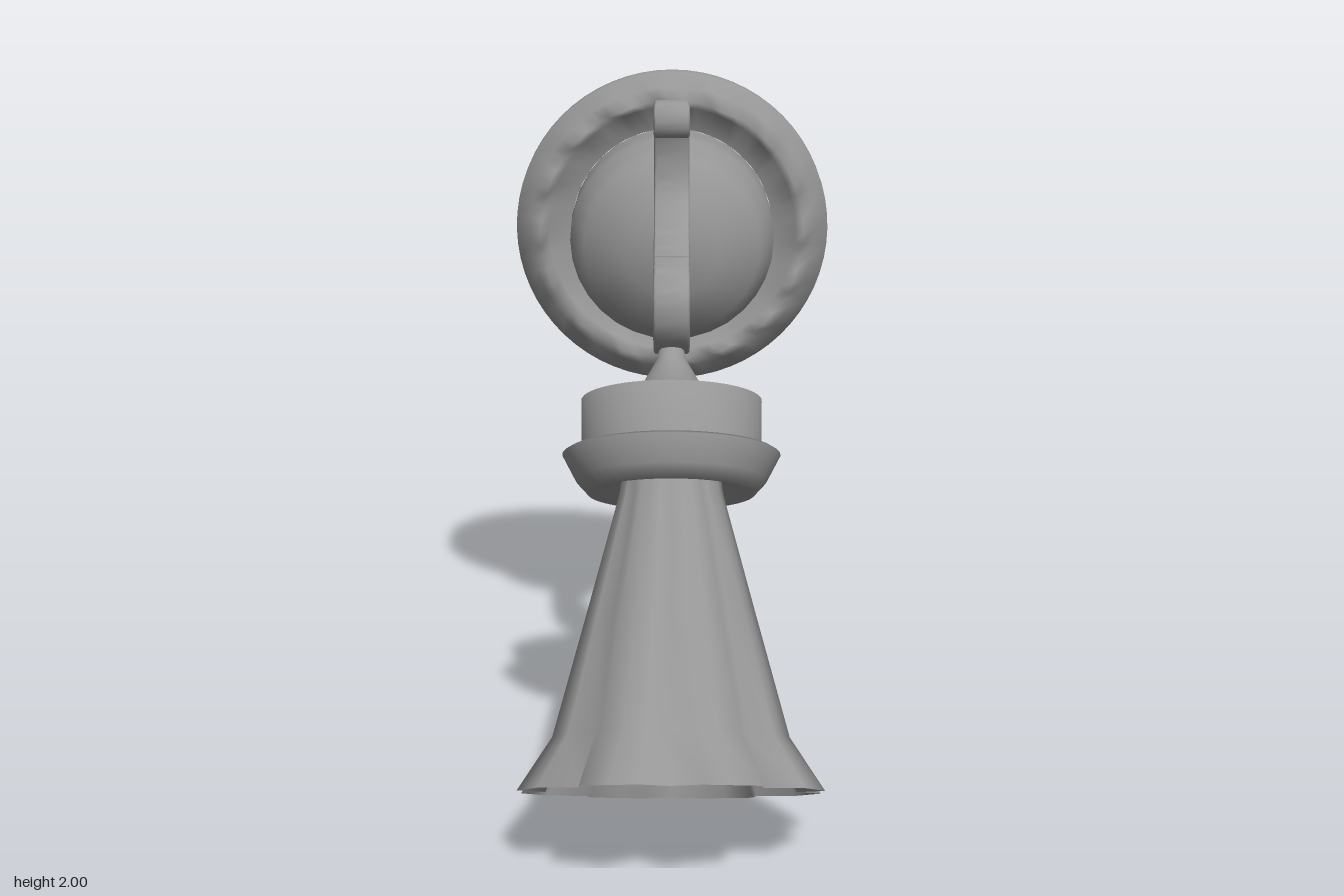
import * as THREE from 'three';
import { mergeVertices, toCreasedNormals } from 'three/addons/utils/BufferGeometryUtils.js';

const material = new THREE.MeshStandardMaterial({ color: 0x969696, side: THREE.DoubleSide });

function addMesh(parent, name, geometry) {
  const mesh = new THREE.Mesh(geometry, material);
  mesh.name = name;
  parent.add(mesh);
}

// Smoothly revolve [radius, height] pairs; rule(segment, row) may return { scale, lift } per vertex
function revolve(profile, segments, rule = () => ({})) {
  const lathe = new THREE.LatheGeometry(profile.map(([r, h]) => new THREE.Vector2(r, h)), segments);
  lathe.deleteAttribute('uv');
  lathe.deleteAttribute('normal');
  const pos = lathe.attributes.position;
  for (let i = 0; i < pos.count; i++) {
    const segment = Math.floor(i / profile.length) % segments;
    const { scale = 1, lift = 0 } = rule(segment, i % profile.length);
    pos.setXYZ(i, pos.getX(i) * scale, pos.getY(i) + lift, pos.getZ(i) * scale);
  }
  const merged = mergeVertices(lathe, 1e-4);
  merged.computeVertexNormals();
  return merged;
}

// Flat iron strip following [z, y] points, with softly rounded edges
function strip(points, samples) {
  const width = 0.104, core = 0.007, bevel = 0.01;
  const curve = new THREE.SplineCurve(points.map(([z, y]) => new THREE.Vector2(z, y)));
  const left = [], right = [];
  for (let i = 0; i <= samples; i++) {
    const p = curve.getPointAt(i / samples);
    const t = curve.getTangentAt(i / samples);
    const n = new THREE.Vector2(-t.y, t.x).multiplyScalar(core);
    left.push(p.clone().add(n));
    right.unshift(p.clone().sub(n));
  }
  const geometry = new THREE.ExtrudeGeometry(new THREE.Shape([...left, ...right]), {
    depth: width - 2 * bevel, bevelEnabled: true, bevelSize: bevel, bevelThickness: bevel, bevelSegments: 3,
  });
  geometry.translate(0, 0, -(width / 2 - bevel));
  geometry.rotateY(-Math.PI / 2);
  return toCreasedNormals(geometry, 0.9);
}

export function createModel() {
  const model = new THREE.Group();
  model.name = 'wallLamp';

  // Wall mount: scalloped ring and dome, turned to face +z
  const mount = new THREE.Group();
  mount.name = 'wallMount';
  mount.position.y = 1.52;
  mount.rotation.x = Math.PI / 2;
  model.add(mount);

  const ringProfile = [[0.482, -0.82], [0.482, -0.77], [0.438, -0.745], [0.402, -0.7], [0.38, -0.742], [0.31, -0.77]];
  const waves = 16, perWave = 4;
  addMesh(mount, 'scallopedRing', revolve(ringProfile, waves * perWave, (segment, row) => {
    const wave = Math.cos((segment / perWave) * Math.PI * 2);
    return row === 3 ? { lift: 0.02 * wave } : {};
  }));
  addMesh(mount, 'dome', revolve(
    [[0.31, -0.77], [0.311, -0.68], [0.308, -0.595], [0.265, -0.515], [0.14, -0.447], [0, -0.44]], 32));

  // Scroll bracket
  const bracket = new THREE.Group();
  bracket.name = 'scrollBracket';
  model.add(bracket);
  addMesh(bracket, 'mainScroll', strip([
    [-0.39, 1.882], [-0.364, 1.888], [-0.357, 1.923], [-0.38, 1.95], [-0.413, 1.95], [-0.45, 1.903],
    [-0.473, 1.83], [-0.474, 1.75], [-0.45, 1.68], [-0.39, 1.62], [-0.31, 1.568], [-0.235, 1.535],
    [-0.16, 1.51], [-0.111, 1.46], [-0.106, 1.39], [-0.142, 1.33], [-0.2, 1.29], [-0.258, 1.295],
    [-0.288, 1.335], [-0.28, 1.375], [-0.252, 1.39], [-0.235, 1.375],
  ], 90));
  addMesh(bracket, 'smallScroll', strip([
    [-0.235, 1.535], [-0.285, 1.527], [-0.318, 1.5], [-0.327, 1.45], [-0.35, 1.418], [-0.383, 1.416],
    [-0.411, 1.45], [-0.427, 1.51], [-0.428, 1.59],
  ], 40));

  // Tilted lamp head, its origin at the centre of the shade mouth
  const head = new THREE.Group();
  head.name = 'lampHead';
  head.position.set(0, 0.21, 0.46);
  head.rotation.x = -Math.PI / 6;
  model.add(head);

  addMesh(head, 'capAndStem', revolve(
    [[0.255, 0.925], [0.257, 1.1], [0.11, 1.1], [0.042, 1.222], [0.036, 1.25], [0, 1.262]], 40));
  addMesh(head, 'flange', revolve(
    [[0.13, 0.87], [0.2, 0.845], [0.235, 0.83], [0.27, 0.868], [0.309, 0.942], [0.296, 0.95], [0.25, 0.928]], 40));

  // Fluted shade: eight petals with a notch between each pair
  const shadeProfile = [[0.425, 0], [0.33, 0.145], [0.24, 0.48], [0.15, 0.82], [0.14, 0.88]];
  const depth = [0.19, 0.14, 0.1, 0.05, 0.03];
  addMesh(head, 'shade', revolve(shadeProfile, 32, (segment, row) => {
    const step = segment % 4;
    if (step === 0) return { scale: 1 - depth[row] };
    return { scale: step === 2 ? 0.98 : 1 };
  }));

  return model;
}
